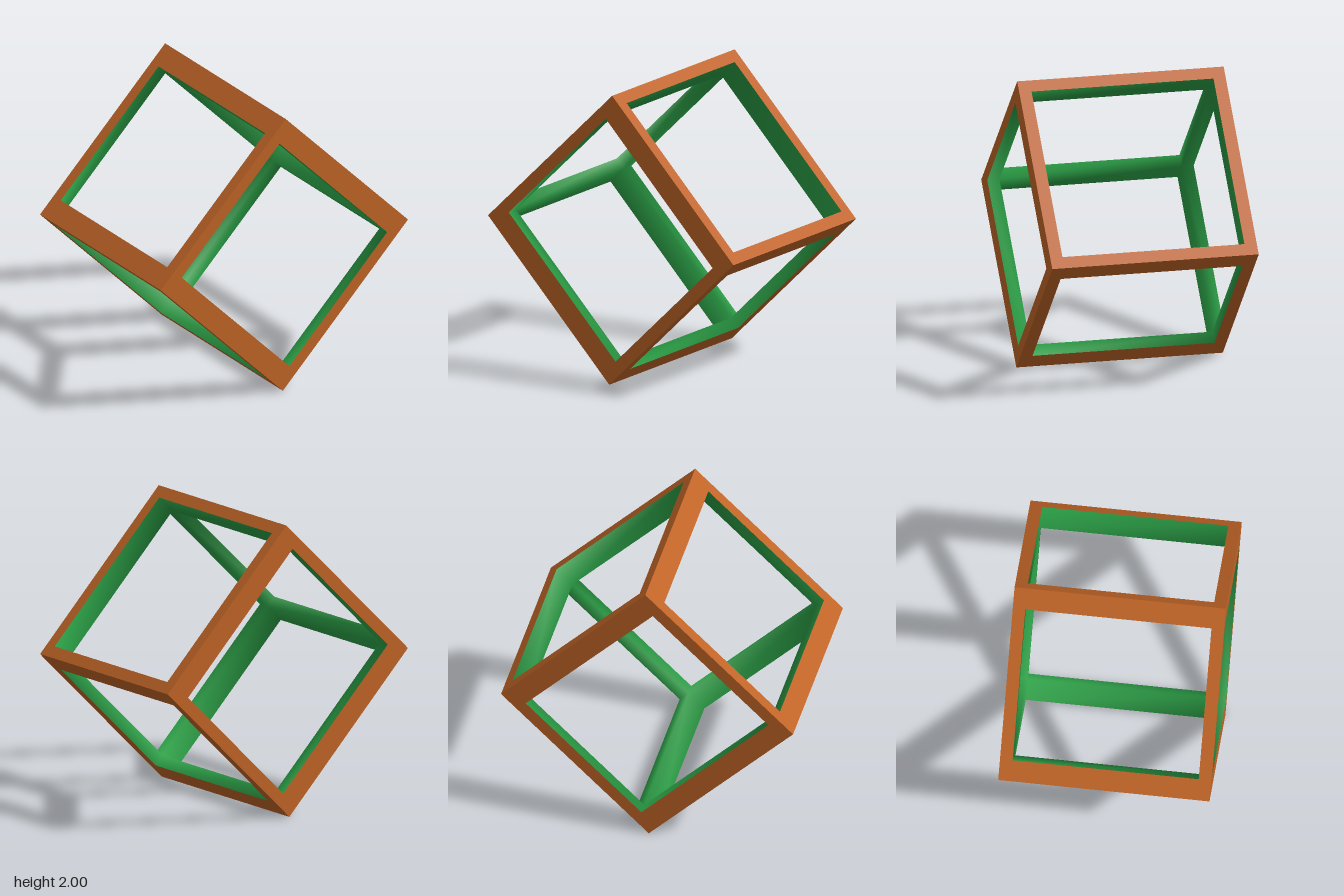
import * as THREE from 'three';
import { mergeVertices } from 'three/addons/utils/BufferGeometryUtils.js';

const OUTER = [0.707, 0.707, 0.707]; // half sizes of the cube
const INNER = [0.553, 0.623, 0.623]; // half sizes of the hollow

// Four corners of a face rectangle, counter-clockwise seen from outside
function loop(axis, sign, half, depth) {
  const b = (axis + 1) % 3, c = (axis + 2) % 3;
  const corners = [[-1, -1], [1, -1], [1, 1], [-1, 1]];
  if (sign < 0) corners.reverse();
  return corners.map(([p, q]) => {
    const v = [0, 0, 0];
    v[axis] = sign * depth;
    v[b] = p * half[b];
    v[c] = q * half[c];
    return v;
  });
}

// Strip of four quads between two loops
function strip(from, to) {
  const pos = [];
  for (let i = 0; i < 4; i++) {
    const j = (i + 1) % 4;
    pos.push(...from[i], ...from[j], ...to[j], ...from[i], ...to[j], ...to[i]);
  }
  return pos;
}

function build(name, positions, color) {
  let geo = new THREE.BufferGeometry();
  geo.setAttribute('position', new THREE.Float32BufferAttribute(positions, 3));
  if (name === 'innerWalls') geo = mergeVertices(geo); // soft inner edges
  geo.computeVertexNormals();
  const mesh = new THREE.Mesh(geo, new THREE.MeshStandardMaterial({ color }));
  mesh.name = name;
  return mesh;
}

export function createModel() {
  const cube = new THREE.Group();
  cube.name = 'openFrameCube';
  const walls = [];
  for (let axis = 0; axis < 3; axis++) {
    for (const sign of [1, -1]) {
      const edge = loop(axis, sign, OUTER, OUTER[axis]);
      const rim = loop(axis, sign, INNER, OUTER[axis]);
      const deep = loop(axis, sign, INNER, INNER[axis]);
      // Flat outer frame of this side
      cube.add(build('outerFrame', strip(edge, rim), 0xc06426));
      // Opening walls leading into the hollow
      walls.push(...strip(rim, deep));
    }
  }
  cube.add(build('innerWalls', walls, 0x2a9d45));

  // Balanced on one edge, turned slightly off the diagonal
  cube.rotation.z = Math.PI / 4 - 0.012;
  cube.position.y = 1;
  const model = new THREE.Group();
  model.name = 'frameCube';
  model.add(cube);
  return model;
}
